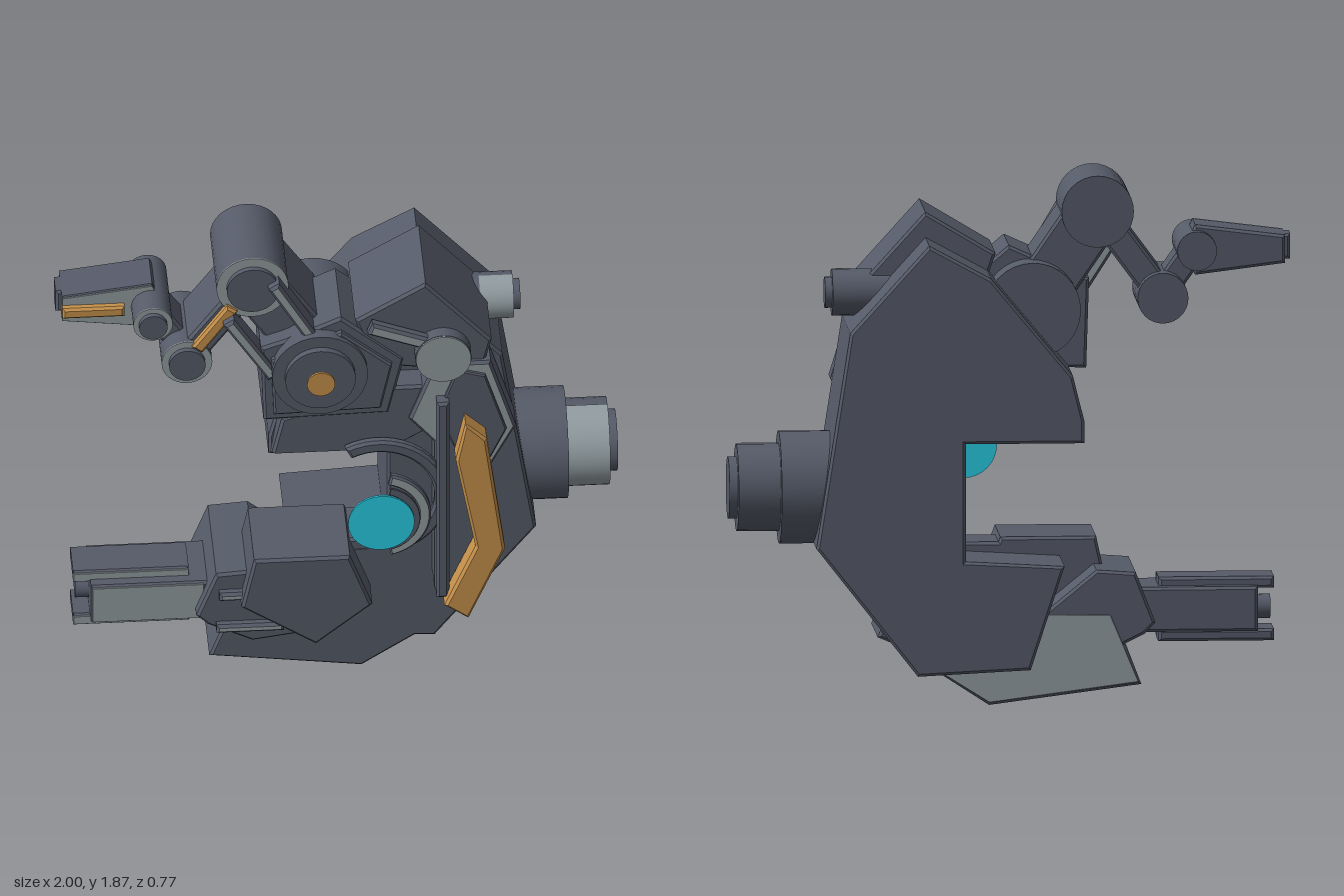
import * as THREE from 'three';

export function createModel() {
  const model = new THREE.Group();
  const material = (name, color) => Object.assign(new THREE.MeshStandardMaterial({ color }), { name });
  const dark = material('dark steel', 0x565b69);
  const light = material('light steel', 0x929da1);
  const gold = material('amber paint', 0xc7924c);
  const cyan = material('cyan lens', 0x28cde4);
  const faced = [light, dark]; // light flat faces, dark edges

  const add = (name, geometry, mat) => {
    const mesh = new THREE.Mesh(geometry, mat);
    mesh.name = name;
    model.add(mesh);
    return mesh;
  };
  // Armour plate: outline in x, y between two depths, with a fine bevel
  const plate = (name, points, z0, z1, mat = dark) => {
    const shape = new THREE.Shape(points.map(p => new THREE.Vector2(...p)));
    const b = Math.min(0.01, (z1 - z0) / 4);
    const g = new THREE.ExtrudeGeometry(shape, {
      depth: z1 - z0 - 2 * b, bevelThickness: b, bevelSize: b, bevelOffset: -b, bevelSegments: 1, curveSegments: 24,
    });
    return add(name, g.translate(0, 0, z0 + b), mat);
  };
  const rect = (x0, x1, y0, y1) => [[x0, y0], [x1, y0], [x1, y1], [x0, y1]];
  // Straight bar between two points of the x, y plane
  const bar = (name, [ax, ay], [bx, by], w, z0, z1, mat = dark) => {
    const l = Math.hypot(bx - ax, by - ay);
    const nx = (-(by - ay) / l) * w / 2, ny = ((bx - ax) / l) * w / 2;
    return plate(name, [[ax + nx, ay + ny], [ax - nx, ay - ny], [bx - nx, by - ny], [bx + nx, by + ny]], z0, z1, mat);
  };
  // Round drum whose axis runs along z
  const drum = (name, [x, y], r, z0, z1, mat = dark) => {
    const g = new THREE.CylinderGeometry(r, r, z1 - z0, 32).rotateX(Math.PI / 2);
    return add(name, g.translate(x, y, (z0 + z1) / 2), mat);
  };
  // Round drum whose axis runs along x
  const axle = (name, x0, x1, r, y, z, mat = dark) => {
    const g = new THREE.CylinderGeometry(r, r, x1 - x0, 32).rotateZ(Math.PI / 2);
    return add(name, g.translate((x0 + x1) / 2, y, z), mat);
  };
  // Polished front half of a drum running along x
  const frontSkin = (name, x0, x1, r, y, z) => {
    const g = new THREE.CylinderGeometry(r, r, x1 - x0, 24, 1, true, -Math.PI / 2, Math.PI).rotateZ(Math.PI / 2);
    return add(name, g.translate((x0 + x1) / 2, y, z), light);
  };
  // Partial flat ring
  const arc = (name, [x, y], r0, r1, a0, a1, z0, z1, mat) => {
    const pts = [];
    for (let i = 0; i <= 24; i++) {
      const a = THREE.MathUtils.degToRad(a0 + (a1 - a0) * i / 24);
      pts.push([x + r1 * Math.cos(a), y + r1 * Math.sin(a)]);
    }
    for (let i = 24; i >= 0; i--) {
      const a = THREE.MathUtils.degToRad(a0 + (a1 - a0) * i / 24);
      pts.push([x + r0 * Math.cos(a), y + r0 * Math.sin(a)]);
    }
    return plate(name, pts, z0, z1, mat);
  };

  // C-shaped main body and the jaws
  plate('mainBody', [[0.34, 0.12], [0.7, 0.58], [0.58, 1.35], [0.3, 1.66], [0.08, 1.54], [-0.21, 1.19], [-0.25, 1.03],
    [-0.25, 0.95], [0.17, 0.95], [0.17, 0.53], [-0.18, 0.51], [-0.06, 0.14]], -0.385, 0.1);
  plate('lowerLip', [[0.2, 0.56], [-0.27, 0.56], [-0.3, 0.25], [0.3, 0.25], [0.2, 0.45]], -0.1, 0.098);
  const upperJaw = plate('upperJaw', [[-0.245, 0.955], [0.17, 0.955], [0.3, 1.1], [0.32, 1.3], [0.15, 1.3], [-0.21, 1.18]], 0.08, 0.2);
  // Slope the underside of the upper jaw up towards the front
  const jawPoints = upperJaw.geometry.attributes.position;
  for (let i = 0; i < jawPoints.count; i++) {
    if (jawPoints.getZ(i) > 0.15 && jawPoints.getY(i) < 1) jawPoints.setY(i, 1.03);
  }
  upperJaw.geometry.computeVertexNormals();
  plate('lowerJaw', [[-0.46, 0.07], [0.08, 0], [0.28, 0.13], [0.34, 0.12], [0.36, 0.35], [-0.36, 0.33]], -0.265, 0.1);
  plate('lowerJawBackPanel', [[-0.45, 0.08], [0.08, 0.01], [0.27, 0.13], [0.3, 0.33], [-0.35, 0.32]], -0.272, -0.264, light);
  plate('jawGuard', [[-0.31, 0.577], [-0.355, 0.37], [-0.09, 0.195], [0.11, 0.36], [0.03, 0.577]], -0.1, 0.225);
  plate('topBlock', [[0.3, 1.75], [0.05, 1.6], [0.12, 1.4], [0.5, 1.35], [0.535, 1.49]], -0.16, 0.2);
  bar('bodyRidge', [0.41, 0.235], [0.47, 0.26], 0.03, -0.27, 0.1);

  // Front spine armour
  plate('spineFrame', [[0.33, 1.41], [0.24, 1.17], [0.34, 1.05], [0.52, 0.93], [0.62, 1.12], [0.53, 1.41]], 0.1, 0.22, faced);
  plate('spineInset', [[0.41, 1.39], [0.34, 1.2], [0.4, 1.05], [0.52, 0.98], [0.585, 1.12], [0.51, 1.36]], 0.215, 0.235);
  plate('spineBase', [[0.33, 1.1], [0.33, 0.42], [0.44, 0.37], [0.56, 0.65], [0.52, 1.1]], 0.09, 0.225);
  plate('spineBar', rect(0.335, 0.38, 0.41, 1.27), 0.2, 0.27);
  plate('spineStripe', [[0.435, 1.2], [0.4, 1.04], [0.47, 0.655], [0.36, 0.4], [0.445, 0.34], [0.575, 0.64], [0.51, 1.13]], 0.22, 0.305, gold);

  // Lens and its half rings
  const eye = [0.13, 0.84];
  arc('eyeBrow', eye, 0.2, 0.25, -80, 118, 0.2, 0.24, dark);
  arc('eyeRing', eye, 0.135, 0.18, -78, 78, 0.315, 0.345, faced);
  arc('eyeInnerRing', eye, 0.11, 0.14, -75, 75, 0.355, 0.363, dark);
  drum('lens', eye, 0.118, 0.375, 0.383, cyan);

  // Side thruster and small port
  axle('thrusterFlange', 0.55, 0.82, 0.2, 0.77, -0.145);
  axle('thrusterBarrel', 0.8, 0.97, 0.155, 0.77, -0.145);
  frontSkin('thrusterFrontSkin', 0.82, 0.97, 0.158, 0.77, -0.145);
  axle('thrusterCap', 0.96, 1, 0.11, 0.77, -0.145);
  axle('portBarrel', 0.4, 0.63, 0.083, 1.46, -0.11);
  frontSkin('portFrontSkin', 0.51, 0.63, 0.085, 1.46, -0.11);
  axle('portCap', 0.62, 0.655, 0.055, 1.46, -0.11);

  // Top knob with lever
  drum('leverKnob', [0.36, 1.455], 0.1, 0.15, 0.248);
  drum('leverKnobFace', [0.36, 1.455], 0.098, 0.248, 0.255, light);
  bar('lever', [0.1, 1.59], [0.34, 1.5], 0.05, 0.2, 0.245, faced);

  // Arm housing
  const hip = [-0.078, 1.403];
  plate('armHousing', [[0, 1.62], [-0.2, 1.53], [-0.285, 1.5], [-0.275, 1.18], [0.17, 1.19], [0.225, 1.43]], -0.1, 0.205);
  plate('armHousingFace', [[0, 1.57], [-0.2, 1.48], [-0.25, 1.46], [-0.24, 1.22], [0.14, 1.23], [0.18, 1.42]], 0.2, 0.23);
  drum('hipJoint', hip, 0.17, -0.22, 0.25);
  drum('hipDisc', hip, 0.125, 0.25, 0.275);
  drum('hipCap', hip, 0.05, 0.294, 0.303, gold);

  // Folding arm: thick link, forearm, wrist link
  const shoulder = [-0.312, 1.745], elbow = [-0.545, 1.43], wrist = [-0.665, 1.6];
  bar('upperArm', hip, shoulder, 0.2, -0.13, 0.14);
  for (const [a, b] of [[[-0.4, 1.63], [-0.24, 1.38]], [[-0.24, 1.78], [-0.1, 1.54]]]) {
    bar('upperArmRod', a, b, 0.045, 0.13, 0.225, faced);
  }
  bar('forearm', shoulder, elbow, 0.1, -0.08, 0.16);
  bar('forearmStripe', [-0.385, 1.665], [-0.51, 1.49], 0.045, 0.155, 0.19, gold);
  bar('wristLink', elbow, wrist, 0.09, -0.06, 0.1);
  for (const [name, at, r, z0, z1] of [
    ['shoulder', shoulder, 0.128, -0.155, 0.165],
    ['elbow', elbow, 0.09, -0.13, 0.17],
    ['wrist', wrist, 0.07, -0.15, 0.165],
  ]) {
    drum(name + 'Joint', at, r, z0, z1);
    drum(name + 'Ring', at, r, z1, z1 + 0.005, light);
    drum(name + 'Cap', at, r * 0.72, z1, z1 + 0.025);
  }

  // Hand at the end of the arm
  const hand = [[-0.98, 1.65], [-0.98, 1.55], [-0.66, 1.51], [-0.62, 1.6], [-0.66, 1.69]];
  plate('hand', hand, -0.115, 0.055);
  plate('handFrontPanel', hand, 0.052, 0.06, light);
  plate('handStripe', rect(-0.98, -0.76, 1.578, 1.622), 0.055, 0.09, gold);
  plate('handTip', rect(-1, -0.97, 1.56, 1.65), -0.08, 0.02);

  // Lower barrel, rails and collar
  plate('collar', [[-0.51, 0.29], [-0.44, 0.47], [-0.3, 0.48], [-0.08, 0.3], [-0.1, 0.2], [-0.31, 0.17], [-0.47, 0.25]].reverse(), -0.27, 0.155);
  plate('barrel', rect(-0.88, -0.4, 0.24, 0.4), -0.155, 0.1);
  plate('barrelFrontPanel', rect(-0.875, -0.48, 0.245, 0.395), 0.097, 0.105, light);
  axle('barrelTip', -0.93, -0.87, 0.043, 0.313, -0.03);
  for (const y of [0.2, 0.388]) {
    plate('barrelRail', rect(-0.94, -0.53, y, y + 0.042), -0.11, 0.05);
    plate('barrelRailFace', rect(-0.94, -0.53, y + 0.003, y + 0.039), 0.048, 0.056, light);
  }
  plate('collarRod', rect(-0.43, -0.3, 0.37, 0.405), 0.14, 0.185, faced);
  plate('collarRod', rect(-0.44, -0.2, 0.23, 0.265), 0.14, 0.185, faced);

  return model;
}
